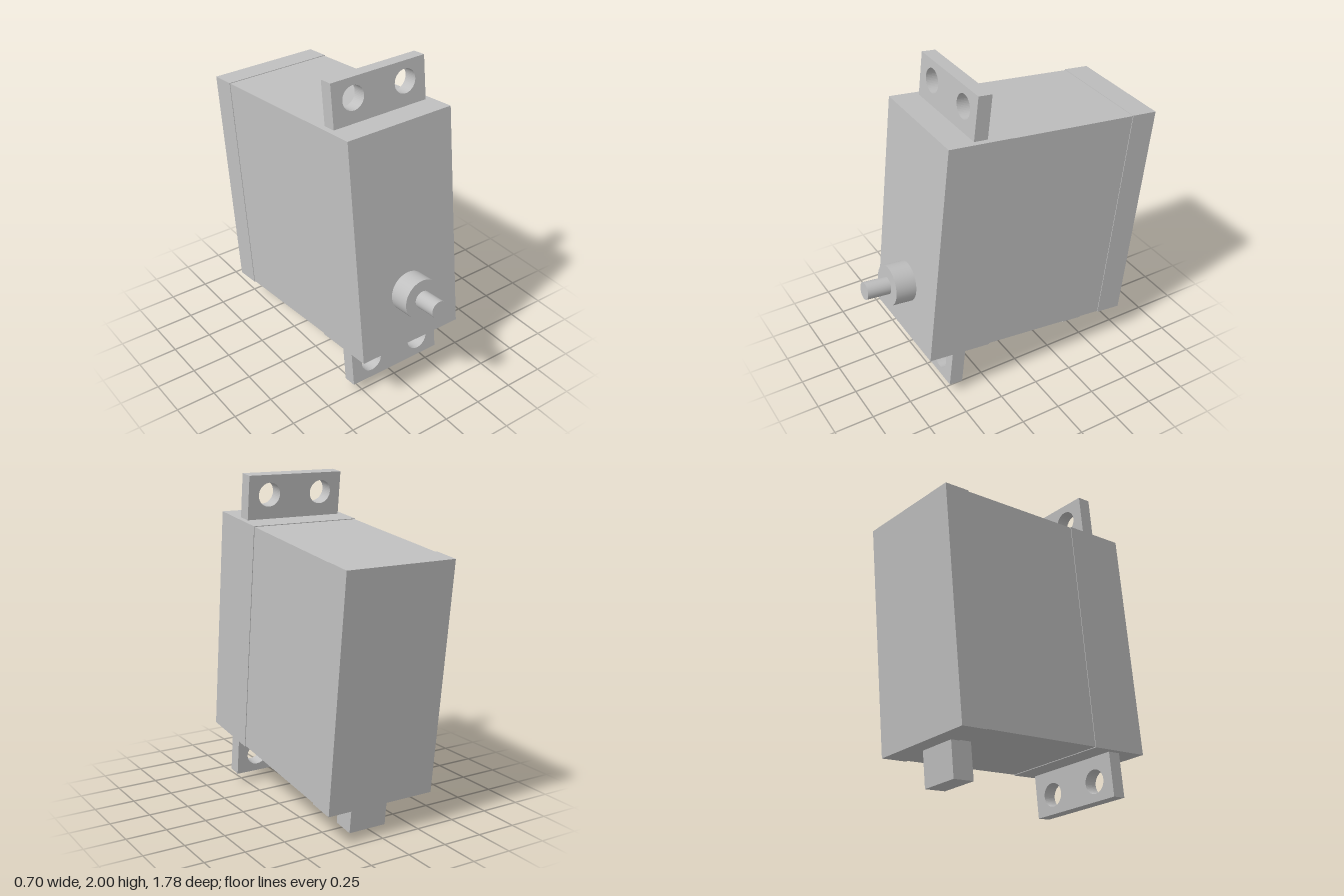
import * as THREE from 'three';

export function createModel() {
  const model = new THREE.Group();
  model.name = 'servoMotor';

  const grey = new THREE.MeshStandardMaterial({ color: 0xc0c0c0 });
  grey.name = 'plain grey';

  // Everything is built upright, then tipped back slightly
  const servo = new THREE.Group();
  servo.name = 'tiltedServo';
  servo.rotation.x = -0.1153;
  servo.position.set(0, 0.981, -0.12);
  model.add(servo);

  const add = (name, geometry, x, y, z) => {
    const mesh = new THREE.Mesh(geometry, grey);
    mesh.name = name;
    mesh.position.set(x, y, z);
    servo.add(mesh);
    return mesh;
  };

  // Box given by half width, and y and z ranges
  const addBox = (name, halfW, y0, y1, z0, z1) =>
    add(name, new THREE.BoxGeometry(halfW * 2, y1 - y0, z1 - z0), 0, (y0 + y1) / 2, (z0 + z1) / 2);

  // Case: front and back covers stand slightly proud of the middle
  addBox('frontCover', 0.351, -0.702, 0.702, 0.29, 0.6945);
  addBox('middleCase', 0.347, -0.698, 0.698, -0.53, 0.29);
  addBox('backCover', 0.351, -0.702, 0.702, -0.6945, -0.53);

  // Mounting lugs with two screw holes, top and bottom
  const lug = new THREE.Shape();
  lug.moveTo(-0.316, 0);
  lug.lineTo(0.316, 0);
  lug.lineTo(0.316, 0.265);
  lug.lineTo(-0.316, 0.265);
  lug.closePath();
  for (const x of [-0.176, 0.176]) {
    const hole = new THREE.Path();
    hole.absarc(x, 0.146, 0.072, 0, Math.PI * 2, true);
    lug.holes.push(hole);
  }
  const lugGeometry = new THREE.ExtrudeGeometry(lug, { depth: 0.086, bevelEnabled: false, curveSegments: 24 });
  add('topLug', lugGeometry, 0, 0.702, 0.435);
  add('bottomLug', lugGeometry, 0, -0.702, 0.521).rotation.x = Math.PI;

  // Output boss and shaft on the front
  const addRod = (name, radius, z0, z1) => {
    const geometry = new THREE.CylinderGeometry(radius, radius, z1 - z0, 48);
    geometry.rotateX(Math.PI / 2);
    add(name, geometry, 0, -0.347, (z0 + z1) / 2);
  };
  addRod('outputBoss', 0.123, 0.69, 0.824);
  addRod('outputShaft', 0.053, 0.82, 0.972);

  // Cable exit block underneath
  addBox('cableBlock', 0.123, -0.916, -0.69, -0.584, -0.447);

  return model;
}
